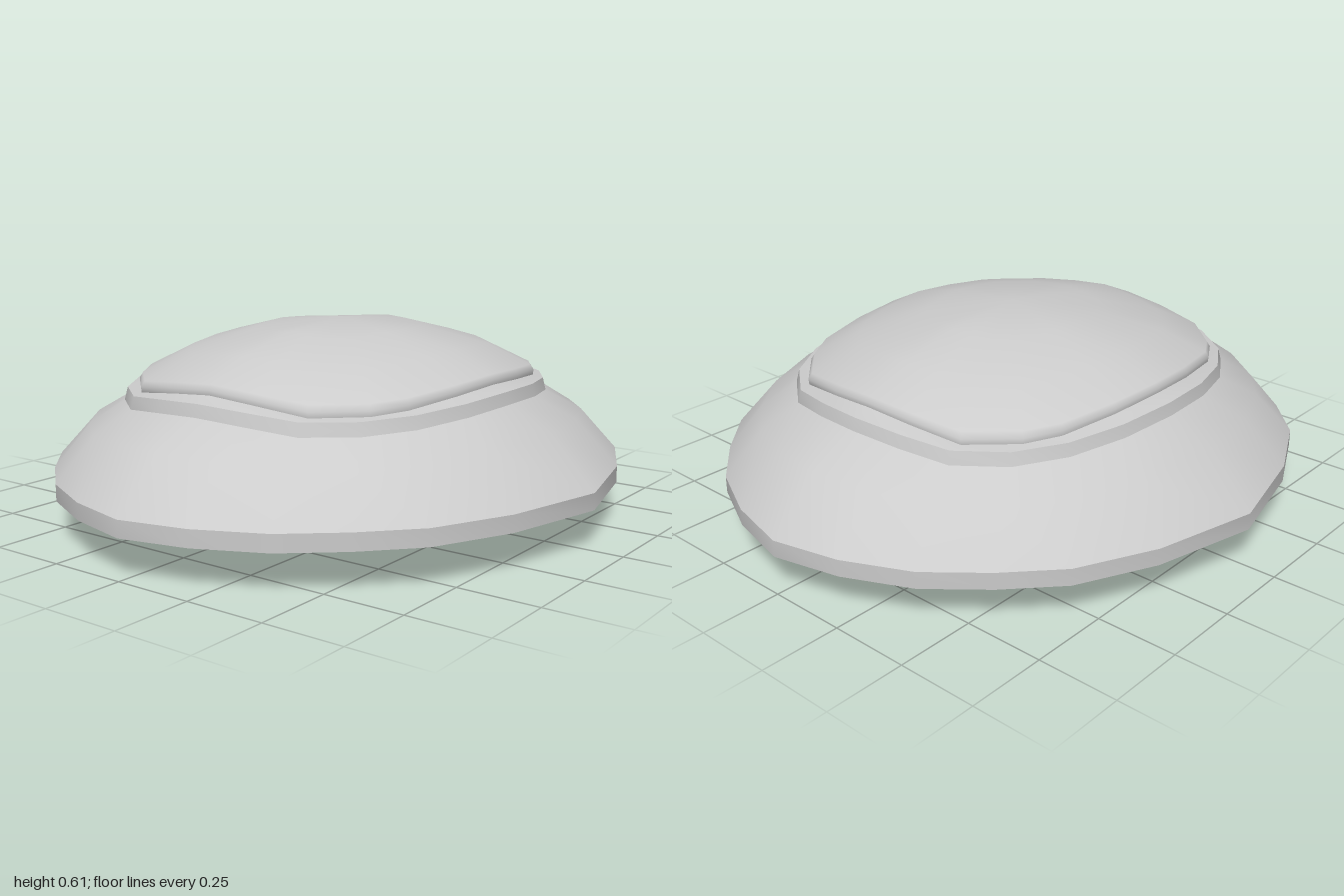
import * as THREE from 'three';

// Quarter outlines from the +x axis round to the +z axis, as [x, z]
const RIM = [[0.905, 0], [0.825, 0.33], [0.71, 0.57], [0.57, 0.72], [0.41, 0.855], [0.21, 0.95], [0, 1]];
const LEDGE = [[0.62, 0], [0.6, 0.2], [0.545, 0.38], [0.455, 0.525], [0.32, 0.63], [0.165, 0.67], [0, 0.69]];
const DOME = [[0.565, 0], [0.547, 0.18], [0.505, 0.365], [0.445, 0.465], [0.32, 0.582], [0.155, 0.615], [0, 0.63]];
// How far each outline point counts as a corner, where the rings dip
const DIP = [0, 0.3, 0.75, 1, 1, 0.4, 0];

const scaled = (q, s, sz = s) => q.map(([x, z]) => [x * s, z * sz]);
const blend = (a, b, t) => a.map(([x, z], i) => [x + (b[i][0] - x) * t, z + (b[i][1] - z) * t]);

// Mirror a quarter outline into a closed ring; y is the axis height, lowered by dip at the corners
function ring(q, y, dip = 0) {
  const points = [];
  for (let k = 0; k < 24; k++) {
    const quarter = Math.floor(k / 6);
    const i = quarter % 2 ? 6 - (k % 6) : k % 6;
    const sx = quarter === 1 || quarter === 2 ? -1 : 1;
    const sz = quarter >= 2 ? -1 : 1;
    points.push([q[i][0] * sx, y - dip * DIP[i], q[i][1] * sz]);
  }
  return points;
}
const tip = (y) => Array.from({ length: 24 }, () => [0, y, 0]);

// Smooth skin through rings, ordered from the bottom of the body to the top
function skin(name, rings) {
  const index = [];
  for (let r = 0; r < rings.length - 1; r++) {
    for (let i = 0; i < 24; i++) {
      const j = (i + 1) % 24;
      const a = r * 24 + i, b = a + 24, c = r * 24 + 24 + j, d = r * 24 + j;
      index.push(a, b, c, a, c, d);
    }
  }
  const geometry = new THREE.BufferGeometry();
  geometry.setAttribute('position', new THREE.Float32BufferAttribute(rings.flat(2), 3));
  geometry.setIndex(index);
  geometry.computeVertexNormals();
  // Poles share one vertical normal
  const normal = geometry.attributes.normal;
  rings.forEach((points, r) => {
    if (points[0][0] !== 0) return;
    for (let i = 0; i < 24; i++) normal.setXYZ(r * 24 + i, 0, r ? 1 : -1, 0);
  });
  const mesh = new THREE.Mesh(geometry, new THREE.MeshStandardMaterial({ color: 0xcccccc, side: THREE.DoubleSide }));
  mesh.name = name;
  return mesh;
}

export function createModel() {
  const group = new THREE.Group();
  group.name = 'saucer';

  const bellyEdge = scaled(RIM, 0.83);
  const hullTop = ring(LEDGE, 0.4, 0.025);
  const bandTop = ring(scaled(LEDGE, 0.985), 0.438, 0.023);
  const domeFoot = ring(DOME, 0.455, 0.035);
  const lipTop = ring(scaled(DOME, 0.985), 0.485, 0.03);

  group.add(
    // Shallow bowl below the hull
    skin('belly', [
      tip(0.004),
      ring(scaled(RIM, 0.22), 0.008),
      ring(scaled(RIM, 0.42), 0.022),
      ring(scaled(RIM, 0.6), 0.062),
      ring(scaled(RIM, 0.7), 0.085),
      ring(bellyEdge, 0.108),
    ]),
    skin('bellyStep', [ring(bellyEdge, 0.108), ring(scaled(RIM, 0.845), 0.12)]),
    skin('underside', [ring(scaled(RIM, 0.845), 0.12), ring(RIM, 0.125)]),
    // Outer wall and sloping upper hull
    skin('rim', [ring(RIM, 0.125), ring(RIM, 0.177)]),
    skin('hull', [ring(RIM, 0.177), ring(blend(RIM, LEDGE, 0.5), 0.328, 0.02), hullTop]),
    // Stepped collar around the dome
    skin('collarBand', [hullTop, bandTop]),
    skin('collarLedge', [bandTop, domeFoot]),
    // Dome with its rounded lip
    skin('dome', [
      domeFoot,
      ring(scaled(DOME, 1.003), 0.47, 0.033),
      lipTop,
      ring(scaled(DOME, 0.76), 0.548, 0.022),
      ring(scaled(DOME, 0.43), 0.596, 0.01),
      tip(0.618),
    ]),
  );
  return group;
}
